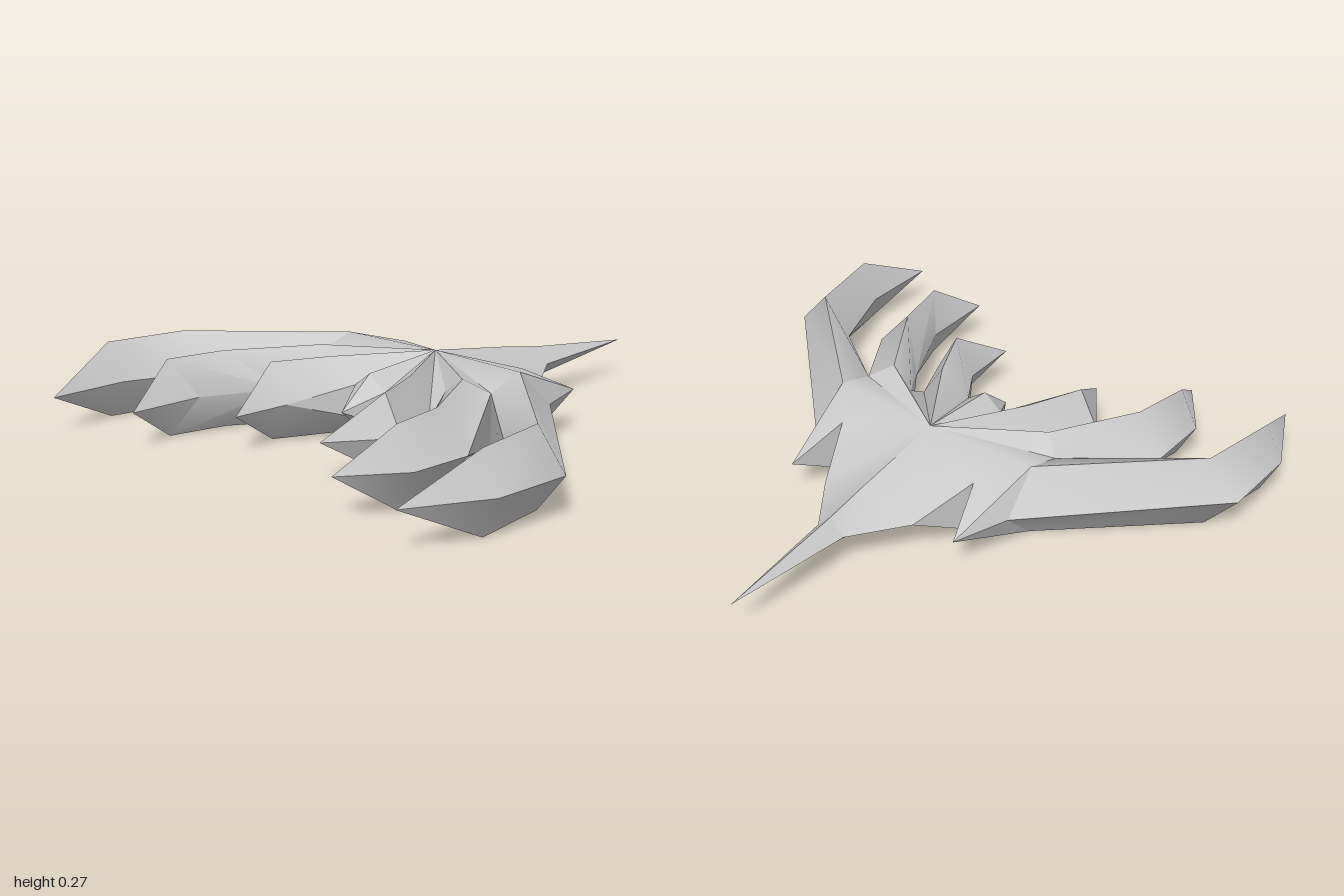
import * as THREE from 'three';
import { toCreasedNormals } from 'three/addons/utils/BufferGeometryUtils.js';

const MID = 0.135; // height of the sharp rim; the hull mirrors above and below it
const HIGH = 0.135; // ridge height over the rim

// points as [x, z, height over rim]
const edge = (x, z) => [x, z, 0];
const ridge = (x, z, h = HIGH) => [x, z, h];
const foot = ([x, z]) => edge(x, z);

// triangles between two matching lines
function strip(a, b) {
  const out = [];
  for (let i = 0; i + 1 < a.length; i++) out.push([a[i], a[i + 1], b[i]], [a[i + 1], b[i + 1], b[i]]);
  return out;
}

// triangles from one point to a line
function fan(c, line) {
  return line.slice(1).map((p, i) => [c, line[i], p]);
}

// mirrors a quarter shell left/right and top/bottom, facing outwards
function shell(name, tris, side = THREE.FrontSide) {
  const pos = [];
  for (const sx of [1, -1]) for (const sy of [1, -1]) for (const t of tris) {
    const [a, b, c] = t.map(([x, z, h]) => new THREE.Vector3(x * sx, MID + h * sy, z));
    const n = b.clone().sub(a).cross(c.clone().sub(a));
    if (n.length() < 1e-7) continue;
    for (const p of n.y * sy > 0 ? [a, b, c] : [a, c, b]) pos.push(p.x, p.y, p.z);
  }
  const g = new THREE.BufferGeometry();
  g.setAttribute('position', new THREE.Float32BufferAttribute(pos, 3));
  const mesh = new THREE.Mesh(toCreasedNormals(g, 0.75), new THREE.MeshStandardMaterial({ color: 0xcccccc, side }));
  mesh.name = name;
  return mesh;
}

export function createModel() {
  const group = new THREE.Group();
  const centre = ridge(0, 0);

  // raised notches, each with an upright wall below it
  const notchOuter = ridge(0.41, 0.16, 0.09);
  const notchMiddle = ridge(0.245, 0.2, 0.075);
  const notchInner = ridge(0.072, 0.31, 0.057);
  const notchRear = ridge(0.285, -0.13, 0.097);

  // each claw: outer rim, top ridge and inner rim, meeting at the tip
  const claw = (name, outer, top, inner, tip) => group.add(shell(name, [
    ...strip([...outer, tip], [...top, tip]),
    ...strip([...top, tip], [...inner, tip]),
  ]));

  const shoulder = ridge(0.41, 0.02);
  const elbow = edge(0.42, -0.12);
  const outerInside = edge(0.74, 0.435);
  claw('outerClaws',
    [elbow, edge(0.967, 0.435), edge(0.967, 0.725)],
    [shoulder, ridge(0.85, 0.43), ridge(0.9, 0.72)],
    [notchOuter, outerInside, edge(0.835, 0.71)],
    edge(0.83, 1));

  const middleRoot = ridge(0.34, 0.22);
  const middleOutside = edge(0.627, 0.495);
  const middleInside = edge(0.365, 0.38);
  claw('middleClaws',
    [notchOuter, middleOutside, edge(0.627, 0.725)],
    [middleRoot, ridge(0.515, 0.515), ridge(0.555, 0.725)],
    [notchMiddle, middleInside, edge(0.485, 0.648)],
    edge(0.485, 0.925));

  const innerOutside = edge(0.275, 0.31);
  const innerInside = edge(0.2, 0.505);
  claw('innerClaws',
    [notchMiddle, innerOutside, edge(0.35, 0.505)],
    [centre, ridge(0.19, 0.31), ridge(0.277, 0.505)],
    [notchInner, notchInner, innerInside],
    edge(0.205, 0.72));

  // short centre claw with a pointed end
  const stubTop = ridge(0, 0.31, 0.11);
  const stubTip = edge(0, 0.44);
  group.add(shell('centreClaw', [[centre, stubTop, notchInner]]));
  group.add(shell('centreClawTip', [[stubTop, notchInner, stubTip]]));

  // hull: claw roots, shoulders and rear slope
  const hullCorner = edge(0.19, -0.335);
  const hornBase = ridge(0, -0.36, 0.084);
  const hornRoot = ridge(0, -0.525, 0.056);
  const hornSide = edge(0.055, -0.525);
  const spikeTip = edge(0.35, -0.325);
  group.add(shell('hull', [
    ...fan(centre, [notchMiddle, middleRoot, notchOuter, shoulder, notchRear, hullCorner, hornBase]),
    ...fan(hornBase, [hullCorner, hornSide, hornRoot]),
    // rear shoulder spikes
    ...fan(shoulder, [elbow, spikeTip, notchRear]),
  ]));

  // upright walls in the notches, tapering to the rim on both sides
  const walls = [
    [notchOuter, outerInside], [notchOuter, middleOutside],
    [notchMiddle, middleInside], [notchMiddle, innerOutside],
    [notchInner, innerInside], [notchInner, stubTip],
    [notchRear, spikeTip], [notchRear, hullCorner],
  ].map(([top, end]) => [top, foot(top), end]);
  group.add(shell('notchWalls', walls, THREE.DoubleSide));

  // long tail horn
  group.add(shell('tailHorn', [[hornRoot, hornSide, edge(0, -1)]]));

  return group;
}
